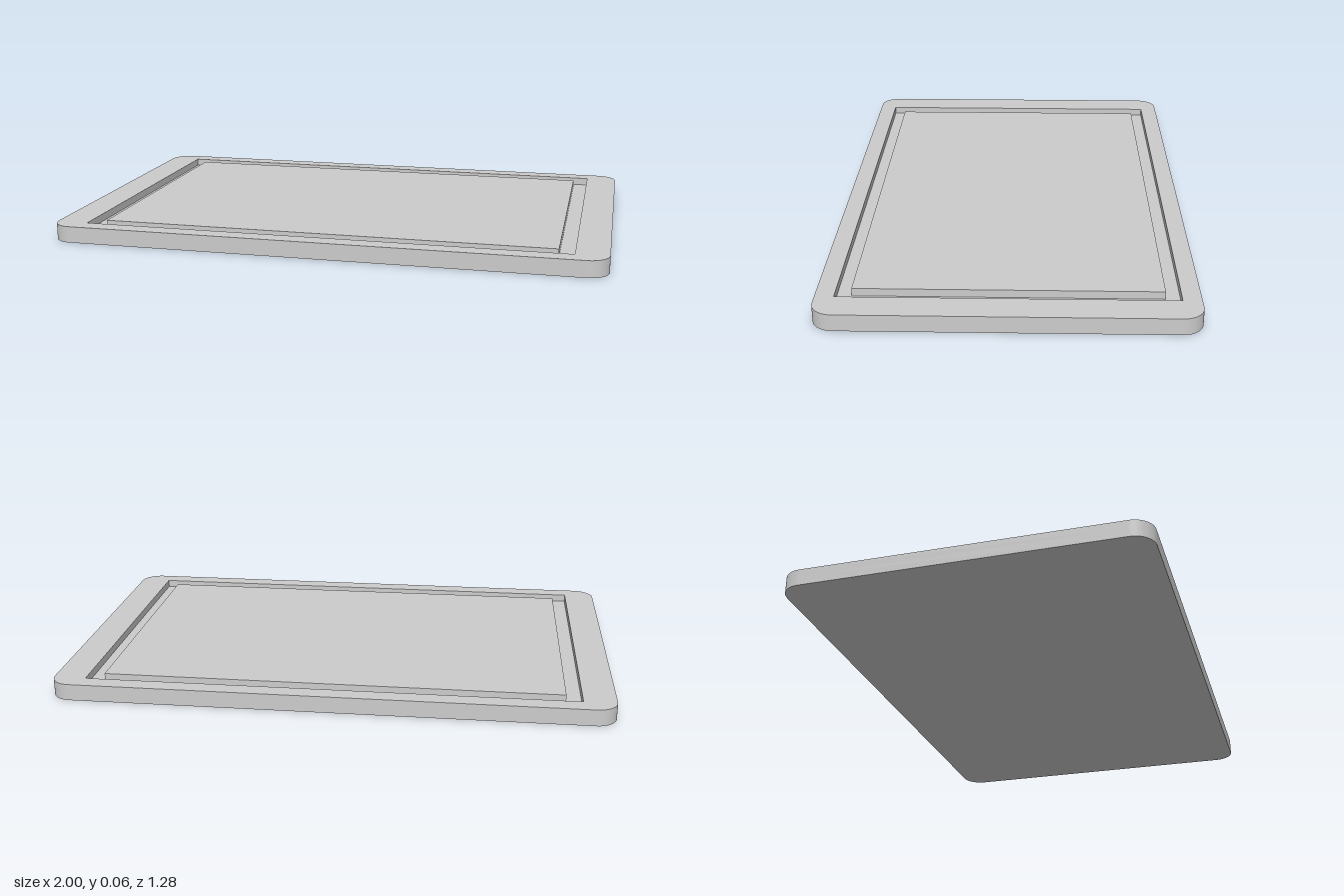
import * as THREE from 'three';

const HEIGHT = 0.06, FLOOR = 0.032;

// Rectangle outline, optionally with rounded corners
function outline(target, hx, hz, r = 0) {
  if (r === 0) {
    target.moveTo(-hx, -hz).lineTo(hx, -hz).lineTo(hx, hz).lineTo(-hx, hz).closePath();
    return target;
  }
  target.moveTo(-hx + r, -hz);
  target.absarc(hx - r, -hz + r, r, -Math.PI / 2, 0);
  target.absarc(hx - r, hz - r, r, 0, Math.PI / 2);
  target.absarc(-hx + r, hz - r, r, Math.PI / 2, Math.PI);
  target.absarc(-hx + r, -hz + r, r, Math.PI, Math.PI * 1.5);
  target.closePath();
  return target;
}

// Upright slab from y0 to y1
function slab(name, shape, y0, y1, material) {
  const geometry = new THREE.ExtrudeGeometry(shape, { depth: y1 - y0, bevelEnabled: false, curveSegments: 12 });
  geometry.rotateX(-Math.PI / 2).translate(0, y0, 0);
  const mesh = new THREE.Mesh(geometry, material);
  mesh.name = name;
  return mesh;
}

export function createModel() {
  const material = new THREE.MeshStandardMaterial({ color: 0xcccccc });
  const board = new THREE.Group();
  board.name = 'cuttingBoard';

  // Solid base whose top is the floor of the juice groove
  const base = outline(new THREE.Shape(), 1, 0.638, 0.075);
  board.add(slab('base', base, 0, FLOOR, material));

  // Raised border outside the groove
  const rim = outline(new THREE.Shape(), 1, 0.638, 0.075);
  rim.holes.push(outline(new THREE.Path(), 0.883, 0.573));
  board.add(slab('rim', rim, FLOOR, HEIGHT, material));

  // Cutting surface inside the groove
  const surface = outline(new THREE.Shape(), 0.828, 0.523);
  board.add(slab('cuttingSurface', surface, FLOOR, HEIGHT, material));

  return board;
}
